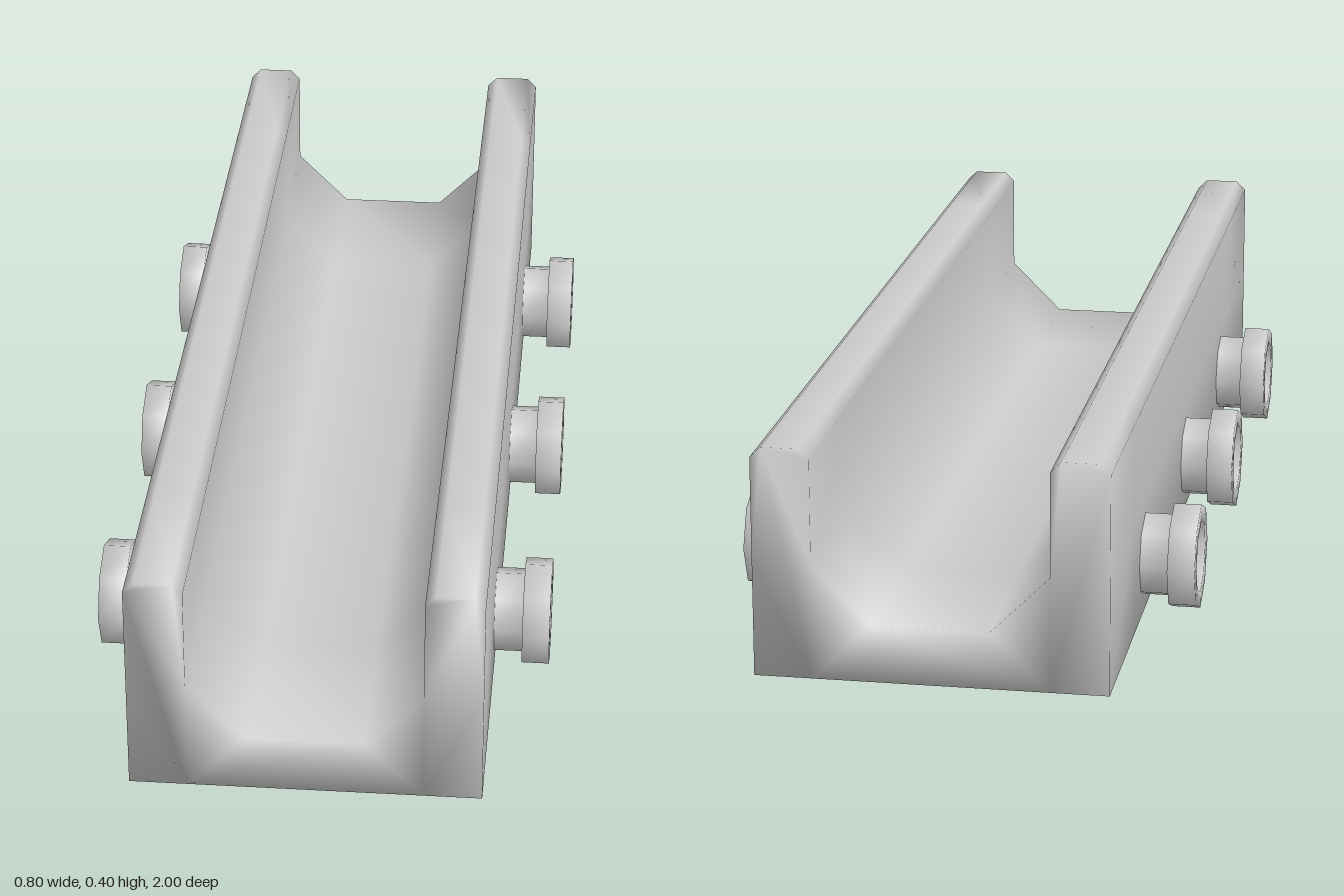
import * as THREE from 'three';
import { mergeVertices } from 'three/addons/utils/BufferGeometryUtils.js';

const LENGTH = 2;
const SECTIONS = 7;

export function createModel() {
  const group = new THREE.Group();
  group.name = 'channelRail';

  const metal = new THREE.MeshStandardMaterial({ color: 0xcccccc });
  metal.name = 'light grey metal';

  // Right half of the channel cross-section, from the bottom round to the floor
  const half = [
    [0.2, 0], [0.3, 0], [0.3, 0.2], [0.3, 0.382], [0.282, 0.4],
    [0.218, 0.4], [0.2, 0.382], [0.2, 0.2], [0.1, 0.1],
  ];
  const mirrored = half.map(([x, y]) => [-x, y]).reverse();
  const profile = [...half, ...mirrored].map(([x, y]) => new THREE.Vector2(x, y));

  // U-shaped channel with soft shading across its welded corners
  let body = new THREE.ExtrudeGeometry(new THREE.Shape(profile), {
    depth: LENGTH, steps: SECTIONS, bevelEnabled: false,
  });
  body.translate(0, 0, -LENGTH / 2);
  body.deleteAttribute('normal');
  body.deleteAttribute('uv');
  body = mergeVertices(body, 1e-4);
  body.computeVertexNormals();
  const channel = new THREE.Mesh(body, metal);
  channel.name = 'channel';
  group.add(channel);

  // Eight-sided bolt: shank, wider head and recessed socket
  const boltProfile = [
    [0.075, 0], [0.075, 0.05], [0.095, 0.05], [0.095, 0.098],
    [0.065, 0.098], [0.06, 0.06], [0, 0.06],
  ].map(([r, y]) => new THREE.Vector2(r, y));
  const boltGeometry = new THREE.LatheGeometry(boltProfile, 8);

  // Three bolts along each side, each centred on a section
  for (const side of [1, -1]) {
    for (const i of [-1, 0, 1]) {
      const bolt = new THREE.Mesh(boltGeometry, metal);
      bolt.name = side > 0 ? 'leftBolt' : 'rightBolt';
      bolt.position.set(side * 0.3, 0.102, (i * 2 * LENGTH) / SECTIONS);
      bolt.rotation.z = (-side * Math.PI) / 2;
      group.add(bolt);
    }
  }

  return group;
}
